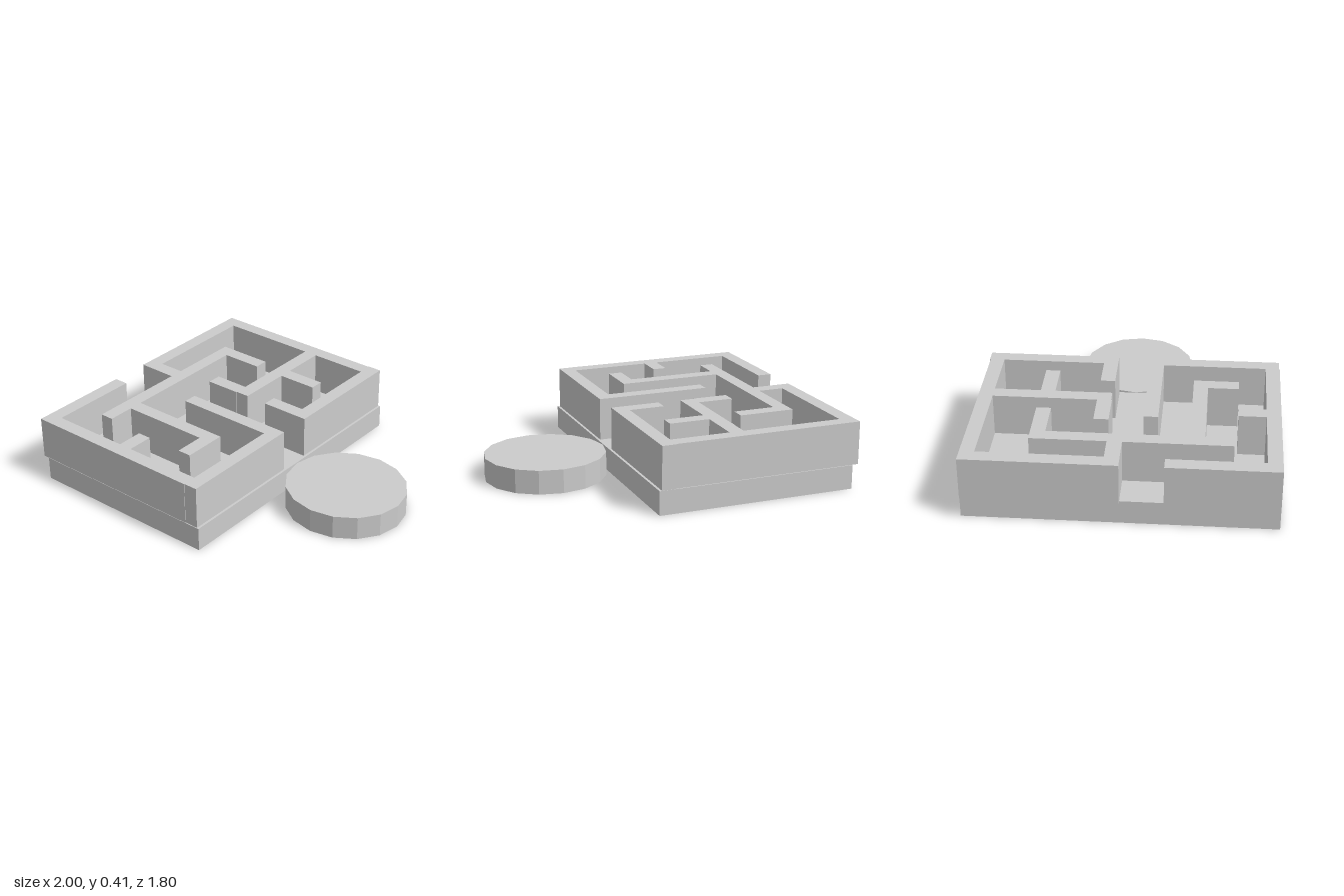
import * as THREE from 'three';

const BASE_TOP = 0.145, WALL_TOP = 0.405;

export function createModel() {
  const model = new THREE.Group();
  const material = new THREE.MeshStandardMaterial({ color: 0xcccccc, flatShading: true });

  // Box spanning x0..x1, y0..y1, z0..z1
  function block(name, parent, x0, x1, z0, z1, y0, y1) {
    const mesh = new THREE.Mesh(new THREE.BoxGeometry(x1 - x0, y1 - y0, z1 - z0), material);
    mesh.position.set((x0 + x1) / 2, (y0 + y1) / 2, (z0 + z1) / 2);
    mesh.name = name;
    parent.add(mesh);
  }

  // Floor slab
  block('base', model, -0.96, 0.255, -0.9, 0.9, 0, BASE_TOP);

  // Maze walls: name, x0, x1, z0, z1
  const walls = new THREE.Group();
  walls.name = 'mazeWalls';
  model.add(walls);
  [
    // outer walls, with a doorway on each side
    ['backWall', -1, 0.155, -0.893, -0.807],
    ['frontWall', -1, 0.155, 0.812, 0.898],
    ['leftWallBack', 0.155, 0.24, -0.898, -0.097],
    ['leftWallFront', 0.155, 0.24, 0.102, 0.895],
    ['rightWallBack', -1, -0.912, -0.807, 0],
    ['rightWallFront', -1, -0.912, 0.25, 0.812],
    // inner walls, back half
    ['entryWall', -0.912, -0.752, -0.087, 0],
    ['longWall', -0.752, -0.667, -0.53, 0.63],
    ['longWallStub', -0.667, -0.41, -0.53, -0.443],
    ['middleWall', -0.295, -0.208, -0.807, -0.102],
    ['middleWallStub', -0.208, 0.04, -0.53, -0.443],
    ['middleWallFoot', -0.515, -0.295, -0.185, -0.097],
    ['doorwayStub', -0.065, 0.155, -0.185, -0.097],
    // inner walls, front half
    ['doorwayWall', -0.467, 0.155, 0.102, 0.187],
    ['crossWall', -0.667, -0.022, 0.378, 0.465],
    ['crossWallEnd', -0.108, -0.022, 0.465, 0.65],
    ['frontWallStub', -0.422, -0.337, 0.65, 0.812],
  ].forEach(([name, ...span]) => block(name, walls, ...span, BASE_TOP, WALL_TOP));

  // Low sixteen-sided disc beside the doorway
  const disc = new THREE.Mesh(new THREE.CylinderGeometry(1, 1, BASE_TOP, 16), material);
  disc.scale.set(0.37, 1, 0.352);
  disc.position.set(0.63, BASE_TOP / 2, 0);
  disc.name = 'roundPlatform';
  model.add(disc);

  return model;
}
